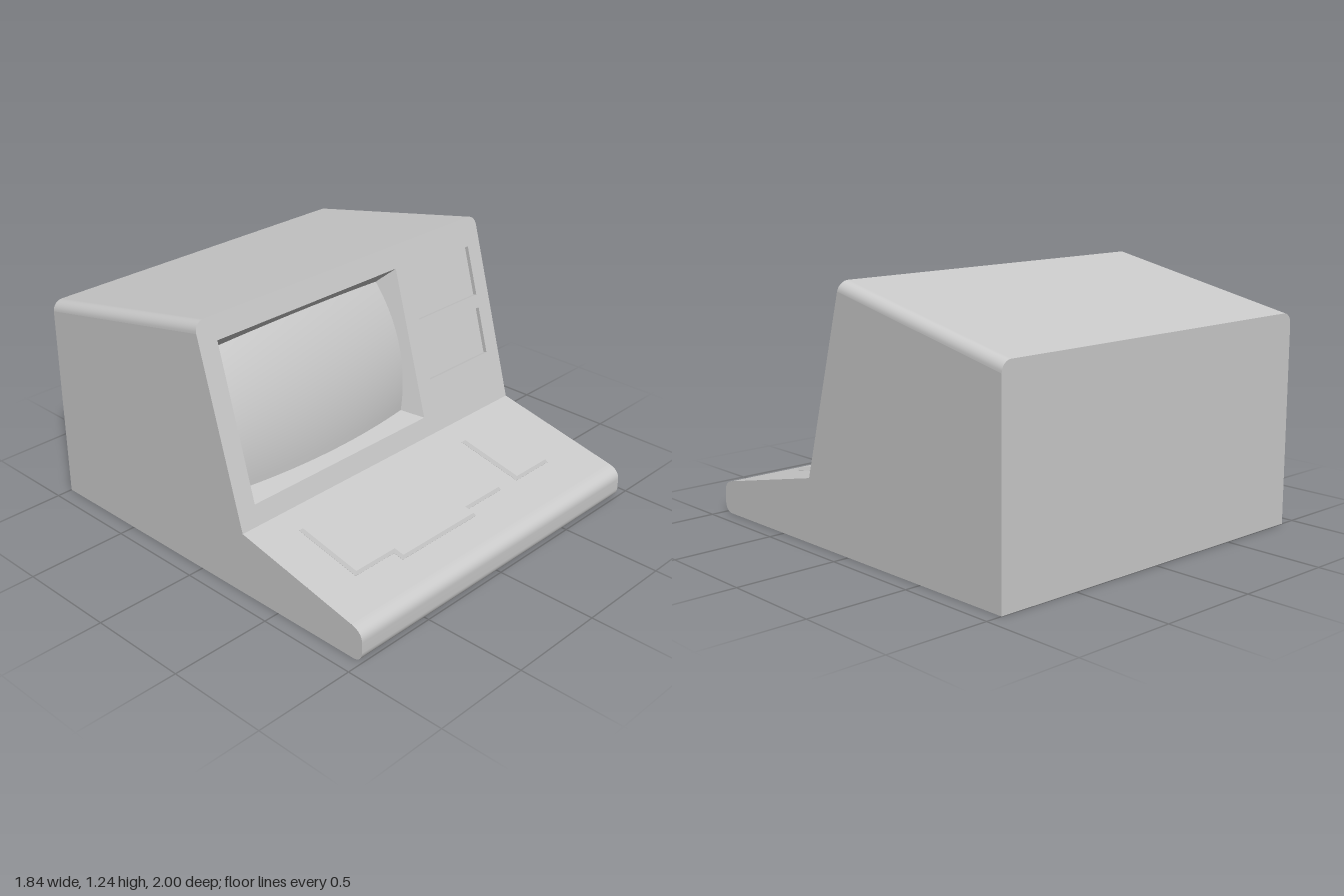
import * as THREE from 'three';

const smooth = new THREE.MeshStandardMaterial({ color: 0xcccccc, side: THREE.DoubleSide });
const flat = new THREE.MeshStandardMaterial({ color: 0xcccccc, side: THREE.DoubleSide, flatShading: true });

const W = 0.92;                                  // half width
const FOOT = { y: 0.31, z: 0.285 };              // crease between deck and face
const FACE_H = 0.961, FACE_TILT = 0.274, DECK_TILT = 0.2178, R = 0.05;

function add(parent, name, geometry, material = flat) {
  const mesh = new THREE.Mesh(geometry, material);
  mesh.name = name;
  parent.add(mesh);
  return mesh;
}

// Skin through rows of points; every row has the same length
function skin(rows) {
  const n = rows[0].length, index = [];
  for (let i = 0; i < rows.length - 1; i++)
    for (let j = 0; j < n - 1; j++) {
      const a = i * n + j, b = a + 1, c = a + n, d = c + 1;
      index.push(a, b, d, a, d, c);
    }
  const g = new THREE.BufferGeometry();
  g.setAttribute('position', new THREE.Float32BufferAttribute(rows.flat(2), 3));
  g.setIndex(index);
  g.computeVertexNormals();
  return g;
}

const polygon = (pts) => new THREE.Shape(pts.map(([x, y]) => new THREE.Vector2(x, y)));
const rect = (x0, y0, x1, y1) => [[x0, y0], [x1, y0], [x1, y1], [x0, y1]];

// Rounded top edge of the face, right to left, in face coordinates
function topEdge() {
  const pts = [];
  for (const [side, from] of [[1, 0], [-1, Math.PI / 2]])
    for (let i = 0; i <= 8; i++) {
      const a = from + (i / 8) * Math.PI / 2;
      pts.push([side * (W - R) + R * Math.cos(a), FACE_H - R + R * Math.sin(a)]);
    }
  return pts;
}

// Curved screen in a tapered recess
function addScreen(face, [x0, y0, x1, y1]) {
  const cx = (x0 + x1) / 2, cy = (y0 + y1) / 2, w = (x1 - x0) / 2, h = (y1 - y0) / 2;
  const depth = (s, t) => 0.1 - 0.03 * (1 - s * s) - 0.05 * (1 - t * t);
  const glass = (s, t) => [
    cx + s * (w - 0.5 * depth(1, t)),
    cy + t * (h - 0.5 * depth(s, 1)),
    -depth(s, t)];
  const rim = (s, t) => [cx + s * w, cy + t * h, 0];
  const N = 20, steps = Array.from({ length: N + 1 }, (_, i) => -1 + (2 * i) / N);
  add(face, 'screen', skin(steps.map((t) => steps.map((s) => glass(s, t)))), smooth);
  const edges = [(u) => [u, -1], (u) => [1, u], (u) => [-u, 1], (u) => [-1, -u]];
  for (const e of edges)
    add(face, 'screenSurround', skin([rim, glass].map((f) => steps.map((u) => f(...e(u))))));
}

// Shallow rectangular drive bay
function addBay(face, [x0, y0, x1, y1]) {
  const D = 0.02, loop = rect(x0, y0, x1, y1);
  loop.push(loop[0]);
  add(face, 'driveBayWalls', skin([0, -D].map((z) => loop.map(([x, y]) => [x, y, z]))));
  add(face, 'driveBayPanel', new THREE.ShapeGeometry(polygon(loop.slice(0, 4)))).position.z = -D;
}

// Low raised key block with bevelled edges, resting on the deck
function addKeyBlock(deck, name, pts) {
  const g = new THREE.ExtrudeGeometry(polygon(pts), {
    depth: 0.001, bevelThickness: 0.016, bevelSize: 0.01, bevelOffset: -0.01, bevelSegments: 1 });
  const p = g.attributes.position;
  for (let i = 0; i < p.count; i++) p.setZ(i, Math.max(0, p.getZ(i)));
  g.computeVertexNormals();
  add(deck, name, g);
}

export function createModel() {
  const model = new THREE.Group();
  model.name = 'desktopTerminal';

  // Sloping face with openings
  const face = new THREE.Group();
  face.name = 'face';
  face.position.set(0, FOOT.y, FOOT.z);
  face.rotation.x = -FACE_TILT;
  model.add(face);
  const top = topEdge();
  const panel = polygon([[-W, 0], [W, 0], ...top]);
  const screen = [-0.82, 0.099, 0.305, 0.852];
  const bays = [[0.395, 0.571, 0.832, 0.821], [0.395, 0.265, 0.832, 0.504]];
  for (const o of [screen, ...bays]) panel.holes.push(polygon(rect(...o)));
  add(face, 'facePanel', new THREE.ShapeGeometry(panel));
  addScreen(face, screen);
  bays.forEach((b) => addBay(face, b));

  // Roof running back and down from the face
  const front = top.map(([x, v]) => [x,
    FOOT.y + v * Math.cos(FACE_TILT), FOOT.z - v * Math.sin(FACE_TILT)]);
  const rear = front.map(([x, y, z]) => [x, y - 0.205 * (z + 1), -1]);
  add(model, 'roof', skin([rear, front].map((r) => [...r].reverse())), smooth);

  // Back wall
  const back = add(model, 'backPanel', new THREE.ShapeGeometry(polygon([[-W, 0], [W, 0], ...rear])));
  back.position.z = -1;
  back.scale.x = -1;
  back.rotation.y = Math.PI;
  back.scale.x = 1;

  // Rounded front nose, points as [z, y]
  const nose = new THREE.CurvePath();
  const v2 = (x, y) => new THREE.Vector2(x, y);
  const lower = new THREE.CubicBezierCurve(v2(0.95, 0), v2(0.98, 0), v2(1, 0.02), v2(1, 0.05));
  const upper = new THREE.CubicBezierCurve(v2(1, 0.1), v2(1, 0.138), v2(0.976, 0.157), v2(0.94, 0.165));
  const nosePts = [...lower.getPoints(8), ...upper.getPoints(10)].map((p) => [p.x, p.y]);
  add(model, 'nose', skin([-W, W].map((x) => nosePts.map(([z, y]) => [x, y, z])).reverse()), smooth);

  // Keyboard deck
  const deck = new THREE.Group();
  deck.name = 'deck';
  deck.position.set(0, FOOT.y, FOOT.z);
  deck.rotation.x = DECK_TILT - Math.PI / 2;
  model.add(deck);
  add(deck, 'deckPanel', new THREE.ShapeGeometry(polygon(rect(-W, -0.671, W, 0))));
  addKeyBlock(deck, 'keyboard', [[-0.7, -0.128], [-0.7, -0.48], [-0.455, -0.48], [-0.455, -0.532],
    [0.048, -0.532], [0.048, -0.48], [0.295, -0.48], [0.295, -0.128]]);
  addKeyBlock(deck, 'numberPad', rect(0.415, -0.48, 0.66, -0.128));

  // Side walls; the underside stays open
  const outline = [[-1, 0], ...nosePts, [FOOT.z, FOOT.y],
    [front[0][2], front[0][1]], [-1, rear[0][1]]];
  for (const side of [-1, 1]) {
    const wall = add(model, side > 0 ? 'leftWall' : 'rightWall',
      new THREE.ShapeGeometry(polygon(outline)).rotateY(-Math.PI / 2));
    wall.position.x = side * W;
    wall.scale.x = -side;
  }
  return model;
}
